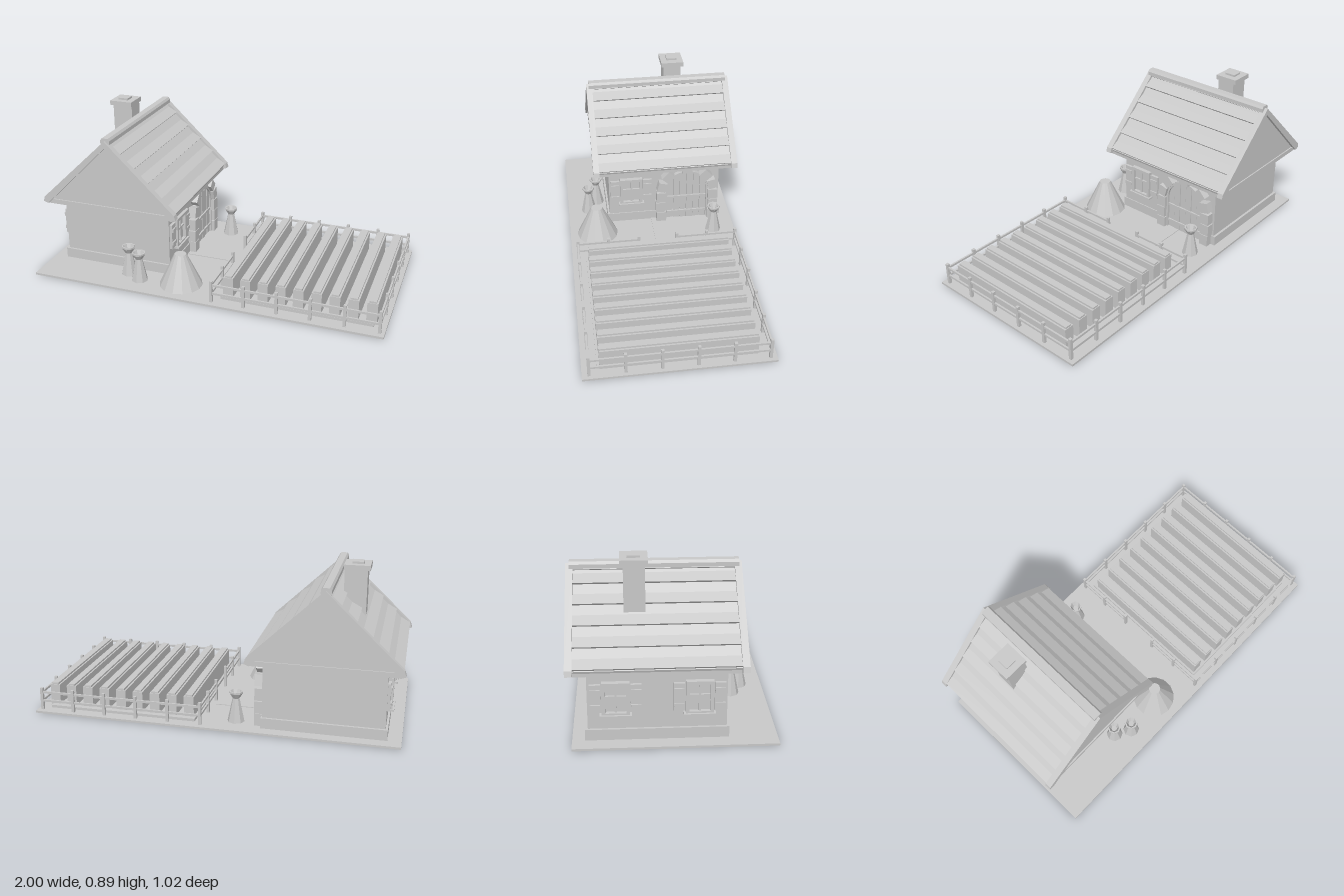
import * as THREE from 'three';

const stone = new THREE.MeshStandardMaterial({ color: 0xc8c8c8, flatShading: true, side: THREE.DoubleSide });
stone.name = 'plain grey';

function add(parent, name, geometry) {
  const mesh = new THREE.Mesh(geometry, stone);
  mesh.name = name;
  parent.add(mesh);
  return mesh;
}

// Box given by its limits on each axis
function block(parent, name, x0, x1, y0, y1, z0, z1) {
  const mesh = add(parent, name, new THREE.BoxGeometry(x1 - x0, y1 - y0, z1 - z0));
  mesh.position.set((x0 + x1) / 2, (y0 + y1) / 2, (z0 + z1) / 2);
  return mesh;
}

// Outline in x and y, stretched from z0 to z1
function prism(parent, name, points, z0, z1) {
  const shape = new THREE.Shape(points.map(p => new THREE.Vector2(p[0], p[1])));
  const mesh = add(parent, name, new THREE.ExtrudeGeometry(shape, { depth: z1 - z0, bevelEnabled: false }));
  mesh.position.z = z0;
  return mesh;
}

function group(parent, name) {
  const g = new THREE.Group();
  g.name = name;
  parent.add(g);
  return g;
}

function buildRoof(house) {
  const roof = group(house, 'roof');
  roof.position.x = -0.595;
  block(roof, 'eavePlate', -0.385, 0.385, 0.385, 0.412, -0.497, 0.34);
  prism(roof, 'gableInfill', [[-0.375, 0.4], [0.375, 0.4], [0, 0.772]], -0.49, 0.332);
  for (const s of [-1, 1]) {
    const side = pts => pts.map(p => [p[0] * s, p[1]]);
    prism(roof, 'roofSlab', side([[0, 0.785], [0.39, 0.415], [0.38, 0.39], [0, 0.755]]), -0.485, 0.33);
    const barge = side([[0, 0.805], [0.4, 0.425], [0.408, 0.397], [0.38, 0.387], [0, 0.765]]);
    prism(roof, 'bargeBoard', barge, 0.317, 0.352);
    prism(roof, 'bargeBoard', barge, -0.508, -0.473);
    // Overlapping planks, each tilted so that its lower edge stands proud
    for (let i = 0; i < 5; i++) {
      const yl = 0.418 + i * 0.0755, yu = yl + 0.0755;
      const at = (y, d) => [(0.785 - y) / 0.95 + 0.69 * d, y + 0.725 * d];
      prism(roof, 'roofPlank', side([at(yl, 0.015), at(yu, -0.013), at(yu, -0.021), at(yl, -0.004)]), -0.474, 0.318);
    }
  }
  prism(roof, 'ridgeCap', [[-0.027, 0.784], [-0.027, 0.805], [-0.018, 0.818], [0.018, 0.818], [0.027, 0.805], [0.027, 0.784]], -0.49, 0.338);
}

function buildChimney(house) {
  const c = group(house, 'chimney');
  block(c, 'chimneyStack', -0.773, -0.655, 0.55, 0.86, -0.23, -0.126);
  block(c, 'chimneyCap', -0.787, -0.651, 0.855, 0.882, -0.246, -0.112);
  block(c, 'chimneyPot', -0.75, -0.69, 0.88, 0.893, -0.21, -0.148);
}

// Window facing +x, wall plane at local x = 0, centred on local z = 0
function buildWindow(house, x, z, turn) {
  const w = group(house, 'window');
  w.position.set(x, 0, z);
  w.rotation.y = turn;
  block(w, 'pane', 0, 0.006, 0.16, 0.31, -0.055, 0.055);
  block(w, 'frameTop', 0, 0.025, 0.308, 0.325, -0.067, 0.067);
  block(w, 'frameBottom', 0, 0.025, 0.15, 0.165, -0.067, 0.067);
  block(w, 'sill', 0, 0.035, 0.145, 0.156, -0.077, 0.077);
  block(w, 'mullion', 0, 0.016, 0.16, 0.31, -0.005, 0.005);
  block(w, 'transom', 0, 0.016, 0.242, 0.252, -0.05, 0.05);
  for (const s of [-1, 1]) {
    const span = (a, b) => (s > 0 ? [a, b] : [-b, -a]);
    block(w, 'frameSide', 0, 0.025, 0.15, 0.325, ...span(0.05, 0.067));
    block(w, 'shutter', 0, 0.015, 0.165, 0.312, ...span(0.072, 0.125));
    for (const y of [0.188, 0.268]) block(w, 'shutterBatten', 0, 0.022, y, y + 0.02, ...span(0.074, 0.123));
  }
}

function buildDoor(house) {
  const door = group(house, 'door');
  door.position.set(-0.268, 0.225, -0.213);
  // Vertical boards cut off by the arch
  const r = 0.122, n = 6, step = 2 * r / n;
  for (let i = 0; i < n; i++) {
    const a = -r + i * step + 0.0015, b = a + step - 0.003;
    const pts = [[a, -0.213], [b, -0.213]];
    for (let k = 0; k <= 4; k++) {
      const u = b + (a - b) * k / 4;
      pts.push([u, Math.sqrt(Math.max(0, r * r - u * u))]);
    }
    prism(door, 'doorBoard', pts, 0, 0.012 + (i % 2) * 0.003).rotation.y = Math.PI / 2;
  }
  for (const y of [-0.06, -0.17]) block(door, 'doorRail', 0, 0.022, y, y + 0.015, -0.12, 0.12);
  // Thin arch rim
  const rim = new THREE.Shape();
  rim.moveTo(0.134, -0.213).lineTo(0.134, 0).absarc(0, 0, 0.134, 0, Math.PI, false).lineTo(-0.134, -0.213);
  rim.lineTo(-0.122, -0.213).lineTo(-0.122, 0).absarc(0, 0, 0.122, Math.PI, 0, true).lineTo(0.122, -0.213);
  add(door, 'archRim', new THREE.ExtrudeGeometry(rim, { depth: 0.025, bevelEnabled: false, curveSegments: 12 })).rotation.y = Math.PI / 2;
  // Surround stones
  for (const deg of [14, 43, 90, 137, 166]) {
    const a = deg * Math.PI / 180;
    const m = add(door, 'archStone', new THREE.BoxGeometry(0.045, 0.052, 0.062));
    m.position.set(0.022, Math.sin(a) * 0.157, Math.cos(a) * 0.157);
    m.rotation.x = Math.PI / 2 - a;
  }
  for (const s of [-1, 1]) {
    for (let i = 0; i < 3; i++) {
      const m = block(door, 'jambStone', 0, 0.045, -0.213 + i * 0.072, -0.145 + i * 0.072, -0.028, 0.028);
      m.position.z = s * (0.158 + (i % 2) * 0.004);
    }
  }
}

function buildHouse(root) {
  const house = group(root, 'house');
  block(house, 'walls', -0.915, -0.268, 0.01, 0.392, -0.413, 0.26);
  block(house, 'plinth', -0.927, -0.262, 0.01, 0.07, -0.427, 0.272);
  buildRoof(house);
  buildChimney(house);
  buildDoor(house);
  buildWindow(house, -0.268, 0.126, 0);
  for (const z of [0.126, -0.276]) buildWindow(house, -0.915, z, Math.PI);
}

function buildGarden(root) {
  const garden = group(root, 'garden');
  block(garden, 'soil', 0.1, 0.935, 0.01, 0.027, -0.425, 0.43);
  for (let i = 0; i < 9; i++) {
    const x = 0.14 + i * 0.0975;
    block(garden, 'plantRow', x - 0.028, x + 0.028, 0.02, 0.14, -0.396, 0.418);
    block(garden, 'rowCrest', x - 0.019, x + 0.019, 0.14, 0.15, -0.392, 0.414);
  }
  // Fence with a gateway on the house side
  const x0 = 0.062, x1 = 0.973, z0 = -0.455, z1 = 0.473;
  const fence = group(garden, 'fence');
  const post = (x, z) => block(fence, 'fencePost', x - 0.008, x + 0.008, 0.01, 0.138, z - 0.008, z + 0.008);
  for (let i = 0; i < 6; i++) {
    const x = x0 + (x1 - x0) * i / 5;
    post(x, z0);
    post(x, z1);
    if (i > 0 && i < 5) post(x1, z0 + (z1 - z0) * i / 5);
  }
  for (const z of [-0.285, -0.107, 0.117, 0.295]) post(x0, z);
  for (const y of [0.058, 0.107]) {
    const rail = (a, b, c, d) => block(fence, 'fenceRail', a - 0.005, b + 0.005, y, y + 0.012, c - 0.005, d + 0.005);
    rail(x0, x1, z0, z0);
    rail(x0, x1, z1, z1);
    rail(x1, x1, z0, z1);
    rail(x0, x0, z0, -0.107);
    rail(x0, x0, 0.117, z1);
  }
}

function turned(parent, name, profile, sides, x, z) {
  const geometry = new THREE.LatheGeometry(profile.map(p => new THREE.Vector2(p[0], p[1])), sides);
  add(parent, name, geometry).position.set(x, 0, z);
}

export function createModel() {
  const root = new THREE.Group();
  root.name = 'cottageWithGarden';
  block(root, 'ground', -1, 1, 0, 0.012, -0.49, 0.51);
  block(root, 'path', -0.265, 0.045, 0.01, 0.016, -0.17, 0.005);
  buildHouse(root);
  buildGarden(root);
  // Vases and the tall mound
  const vase = [[0, 0.012], [0.047, 0.012], [0.019, 0.145], [0.038, 0.175], [0.038, 0.185], [0.03, 0.185], [0.016, 0.15], [0, 0.15]];
  for (const [x, z] of [[-0.49, 0.33], [-0.402, 0.382], [-0.115, -0.358]]) turned(root, 'vase', vase, 8, x, z);
  turned(root, 'mound', [[0, 0.012], [0.122, 0.012], [0.033, 0.2], [0, 0.2]], 14, -0.165, 0.345);
  return root;
}
